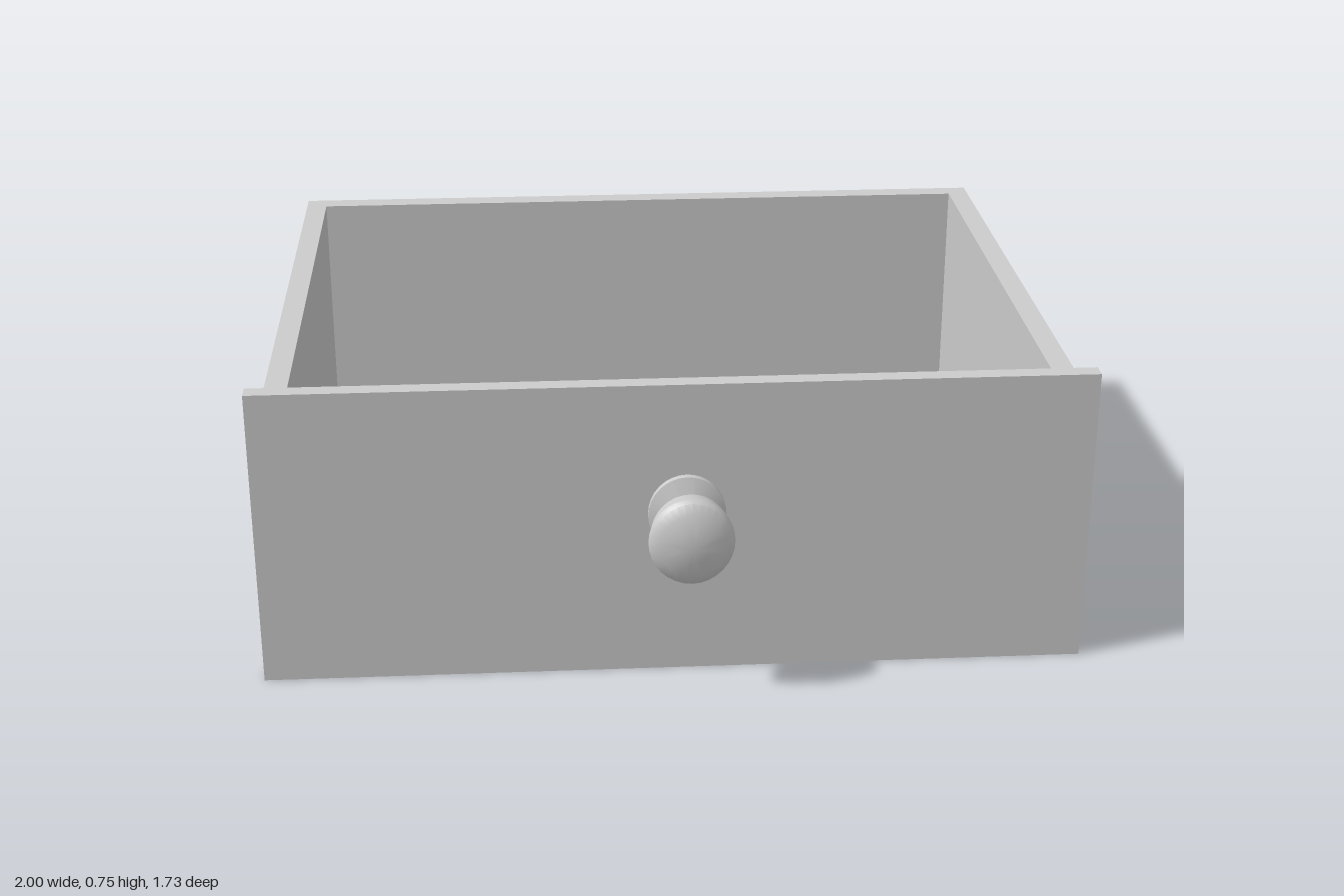
import * as THREE from 'three';
import { toCreasedNormals } from 'three/addons/utils/BufferGeometryUtils.js';

const grey = new THREE.MeshStandardMaterial({ color: 0xcccccc });
const sheetGrey = new THREE.MeshStandardMaterial({ color: 0xcccccc, side: THREE.DoubleSide });

// Main dimensions
const OUT_X = 0.965, IN_X = 0.91;
const FRONT_Z = 0.625, BACK_Z = -0.864, IN_BACK_Z = -0.81;
const TOP = 0.715, OUT_BOTTOM = 0.035, FLOOR = 0.083;

function add(group, name, geometry, material, x = 0, y = 0, z = 0) {
  const mesh = new THREE.Mesh(geometry, material);
  mesh.name = name;
  mesh.position.set(x, y, z);
  group.add(mesh);
  return mesh;
}

// Upright sheet running front to back at a given x
function sideSheet(group, name, x, bottom, back) {
  const geometry = new THREE.PlaneGeometry(FRONT_Z - back, TOP - bottom);
  geometry.rotateY(x > 0 ? Math.PI / 2 : -Math.PI / 2);
  add(group, name, geometry, sheetGrey, x, (TOP + bottom) / 2, (FRONT_Z + back) / 2);
}

export function createModel() {
  const model = new THREE.Group();
  model.name = 'drawer';

  // Front panel, wider and taller than the tray
  add(model, 'frontPanel', new THREE.BoxGeometry(2, 0.75, 0.043), grey, 0, 0.375, 0.6465);

  // Outer and inner skins of both sides
  for (const s of [1, -1]) {
    const side = s > 0 ? 'left' : 'right';
    sideSheet(model, side + 'OuterSide', s * OUT_X, OUT_BOTTOM, BACK_Z);
    sideSheet(model, side + 'InnerSide', s * IN_X, FLOOR, IN_BACK_Z);
  }

  // Recessed back wall, under the overhanging rim
  add(model, 'backWall', new THREE.PlaneGeometry(2 * IN_X, TOP - FLOOR), sheetGrey,
    0, (TOP + FLOOR) / 2, IN_BACK_Z);

  // Floor of the tray
  const floor = new THREE.PlaneGeometry(2 * IN_X, FRONT_Z - IN_BACK_Z).rotateX(-Math.PI / 2);
  add(model, 'floor', floor, sheetGrey, 0, FLOOR, (FRONT_Z + IN_BACK_Z) / 2);

  // U-shaped top rim joining the outer and inner skins
  const rim = new THREE.Shape([
    [-OUT_X, -FRONT_Z], [-IN_X, -FRONT_Z], [-IN_X, -IN_BACK_Z], [IN_X, -IN_BACK_Z],
    [IN_X, -FRONT_Z], [OUT_X, -FRONT_Z], [OUT_X, -BACK_Z], [-OUT_X, -BACK_Z],
  ].map(([x, y]) => new THREE.Vector2(x, y)));
  add(model, 'topRim', new THREE.ShapeGeometry(rim).rotateX(-Math.PI / 2), sheetGrey, 0, TOP, 0);

  // Turned knob: flared base, waisted neck, domed head (radius, distance from panel)
  const profile = [
    [0.1, 0], [0.1, 0.017], [0.05, 0.036], [0.06, 0.11], [0.1, 0.11],
    [0.109, 0.155], [0.103, 0.168], [0.08, 0.182], [0.04, 0.193], [0, 0.197],
  ].map(([r, h]) => new THREE.Vector2(r, h));
  const knob = new THREE.LatheGeometry(profile, 32).rotateX(Math.PI / 2).scale(0.93, 1, 1);
  add(model, 'knob', toCreasedNormals(knob, 0.6), grey, 0.025, 0.42, 0.667);

  return model;
}
